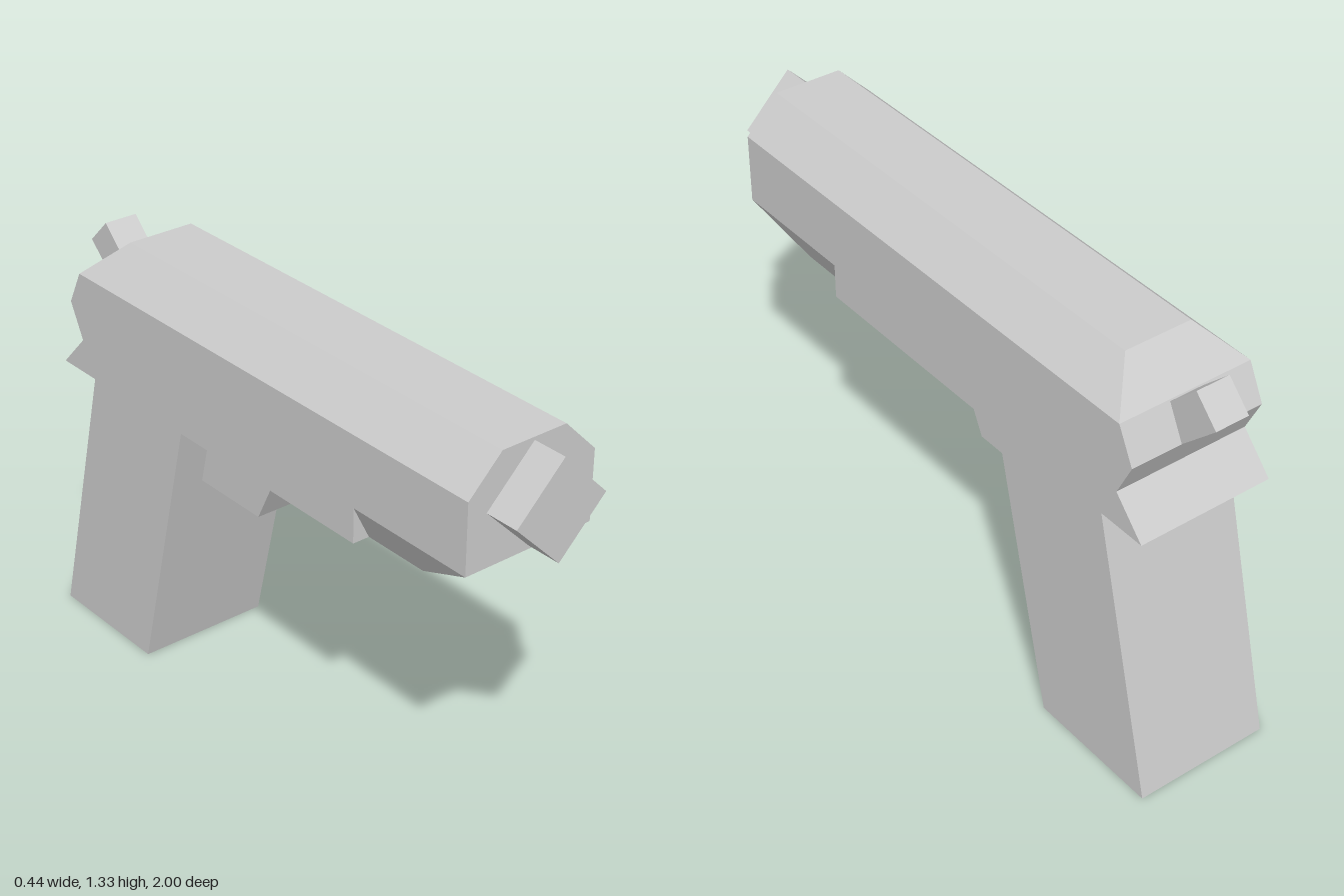
import * as THREE from 'three';

const material = new THREE.MeshStandardMaterial({ color: 0xcccccc, flatShading: true });

function part(name, geometry) {
  const mesh = new THREE.Mesh(geometry, material);
  mesh.name = name;
  return mesh;
}

// Side profile given as [z, y] points, extruded across x and centred
function sideProfile(points, width) {
  const shape = new THREE.Shape(points.map(([z, y]) => new THREE.Vector2(z, y)));
  return new THREE.ExtrudeGeometry(shape, { depth: width, bevelEnabled: false })
    .translate(0, 0, -width / 2)
    .rotateY(-Math.PI / 2);
}

// Box whose bottom and top rectangles differ: { y, x: half width, back, front }
function taperedBox(bottom, top) {
  const geometry = new THREE.BoxGeometry(2, 2, 2).toNonIndexed();
  const pos = geometry.attributes.position;
  for (let i = 0; i < pos.count; i++) {
    const end = pos.getY(i) > 0 ? top : bottom;
    pos.setXYZ(i, pos.getX(i) * end.x, end.y, pos.getZ(i) > 0 ? end.front : end.back);
  }
  geometry.computeVertexNormals();
  return geometry;
}

export function createModel() {
  const model = new THREE.Group();
  model.name = 'pistol';

  // Frame and raked grip in one slab, with the notched tail at the back
  model.add(part('frameAndGrip', sideProfile([
    [0.89, 1.22], [0.89, 1.0], [0.45, 1.0], [0.45, 0.89], [-0.33, 0.89],
    [-0.55, 0], [-0.99, 0], [-0.77, 0.89], [-0.93, 0.89],
    [-0.825, 1.0], [-0.88, 1.11], [-0.825, 1.22],
  ], 0.44)));

  // Chamfered top of the slide, sloped at the rear
  model.add(part('slideTop', taperedBox(
    { y: 1.22, x: 0.22, back: -0.825, front: 0.89 },
    { y: 1.33, x: 0.11, back: -0.71, front: 0.89 },
  )));

  // Tapered chin under the muzzle
  model.add(part('chin', taperedBox(
    { y: 0.89, x: 0.165, back: 0.45, front: 0.67 },
    { y: 1.0, x: 0.22, back: 0.45, front: 0.89 },
  )));

  // Square barrel turned on its corner
  const barrel = part('barrel', new THREE.BoxGeometry(0.22, 0.22, 0.16));
  barrel.rotation.z = Math.PI / 4;
  barrel.position.set(0, 1.165, 0.92);
  model.add(barrel);

  // Solid trigger block, running into the grip
  model.add(part('triggerGuard', sideProfile([
    [0, 0.89], [-0.11, 0.67], [-0.42, 0.67], [-0.37, 0.89],
  ], 0.22)));

  // Tilted hammer, its foot sunk into the slide
  model.add(part('hammer', sideProfile([
    [-0.92, 1.305], [-1.0, 1.225], [-0.88, 1.11], [-0.86, 1.09], [-0.78, 1.17],
  ], 0.11)));

  return model;
}
